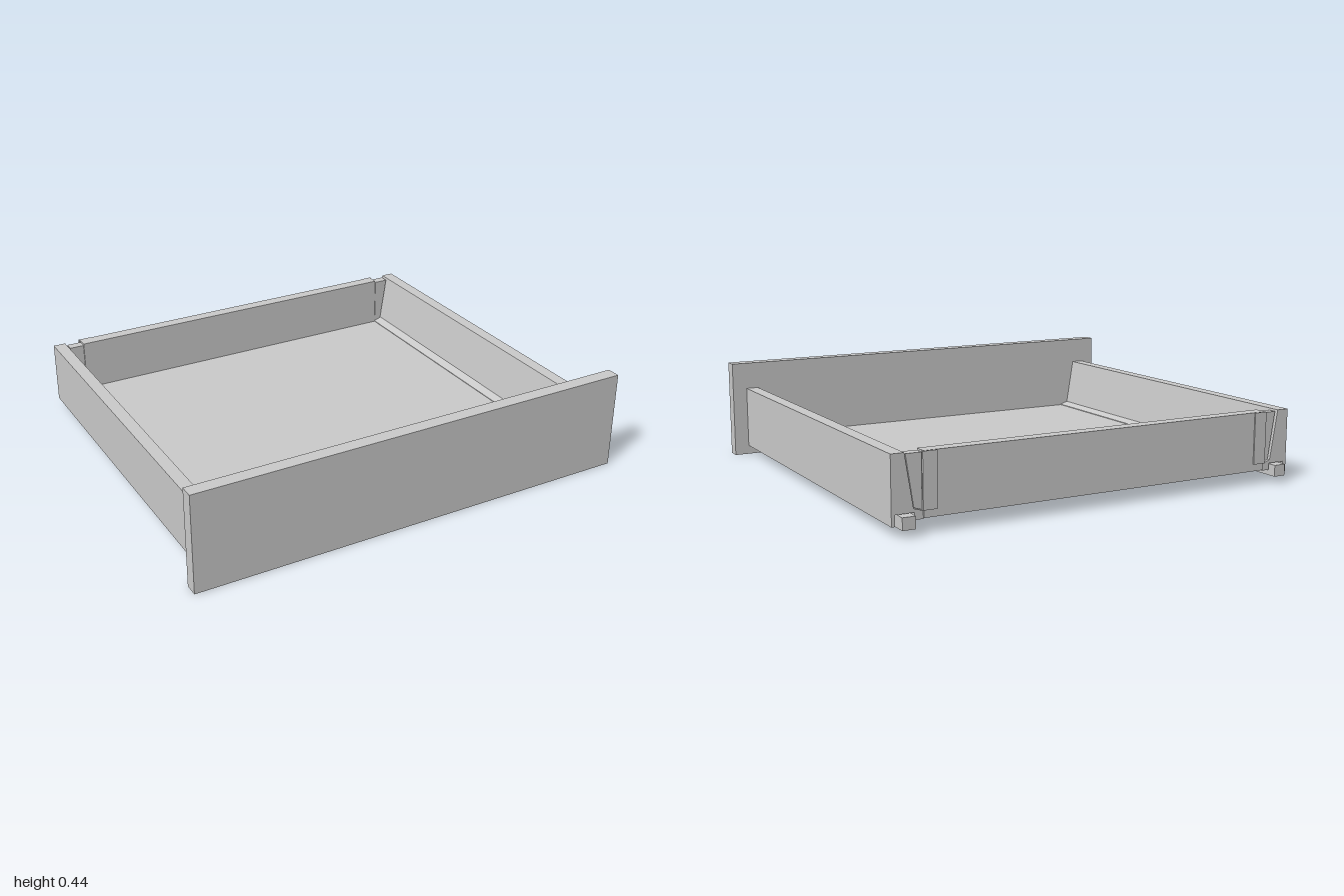
import * as THREE from 'three';

const material = new THREE.MeshStandardMaterial({ color: 0xcccccc, flatShading: true });

export function createModel() {
  const model = new THREE.Group();
  model.name = 'drawer';

  // Box given by its limits on each axis
  function box(name, [x0, x1], [y0, y1], [z0, z1]) {
    const mesh = new THREE.Mesh(new THREE.BoxGeometry(x1 - x0, y1 - y0, z1 - z0), material);
    mesh.position.set((x0 + x1) / 2, (y0 + y1) / 2, (z0 + z1) / 2);
    mesh.name = name;
    model.add(mesh);
  }

  // Cross-section in x and y, run along z; side -1 mirrors it
  function rail(name, points, z0, z1, side) {
    const shape = new THREE.Shape(points.map(([x, y]) => new THREE.Vector2(x * side, y)));
    const geometry = new THREE.ExtrudeGeometry(shape, { depth: z1 - z0, bevelEnabled: false });
    geometry.translate(0, 0, z0);
    const mesh = new THREE.Mesh(geometry, material);
    mesh.name = name;
    model.add(mesh);
  }

  function sideBox(name, [x0, x1], y, z, side) {
    box(name, side > 0 ? [x0, x1] : [-x1, -x0], y, z);
  }

  box('frontPanel', [-1, 1], [0, 0.435], [0.81, 0.87]);
  box('bottomPanel', [-0.806, 0.806], [0.06, 0.085], [-0.835, 0.81]);
  box('backPanel', [-0.805, 0.805], [0.06, 0.315], [-0.845, -0.79]);

  // Leaning inner face, ledge beside the floor, and channel underneath
  const sideProfile = [
    [0.935, 0.04], [0.935, 0.315], [0.88, 0.315], [0.845, 0.1], [0.806, 0.088],
    [0.806, 0.056], [0.842, 0.056], [0.842, 0.085], [0.92, 0.085], [0.92, 0.04],
  ];
  // Wedge between the back panel and the leaning side
  const bracketProfile = [
    [0.807, 0.09], [0.84, 0.1], [0.872, 0.308], [0.807, 0.308],
  ];

  for (const side of [1, -1]) {
    const label = side > 0 ? 'left' : 'right';
    rail(`${label}Side`, sideProfile, -0.84, 0.81, side);
    rail(`${label}BackBracket`, bracketProfile, -0.832, -0.79, side);
    sideBox(`${label}BracketPlate`, [0.75, 0.81], [0.09, 0.314], [-0.85, -0.84], side);

    // Runner in the channel, with its stop block at the back
    sideBox(`${label}Runner`, [0.85, 0.905], [0.03, 0.08], [-0.84, 0.68], side);
    sideBox(`${label}RunnerStop`, [0.85, 0.905], [0.03, 0.08], [-0.87, -0.84], side);
    sideBox(`${label}RunnerNose`, [0.855, 0.9], [0.036, 0.08], [0.68, 0.81], side);
  }

  return model;
}
